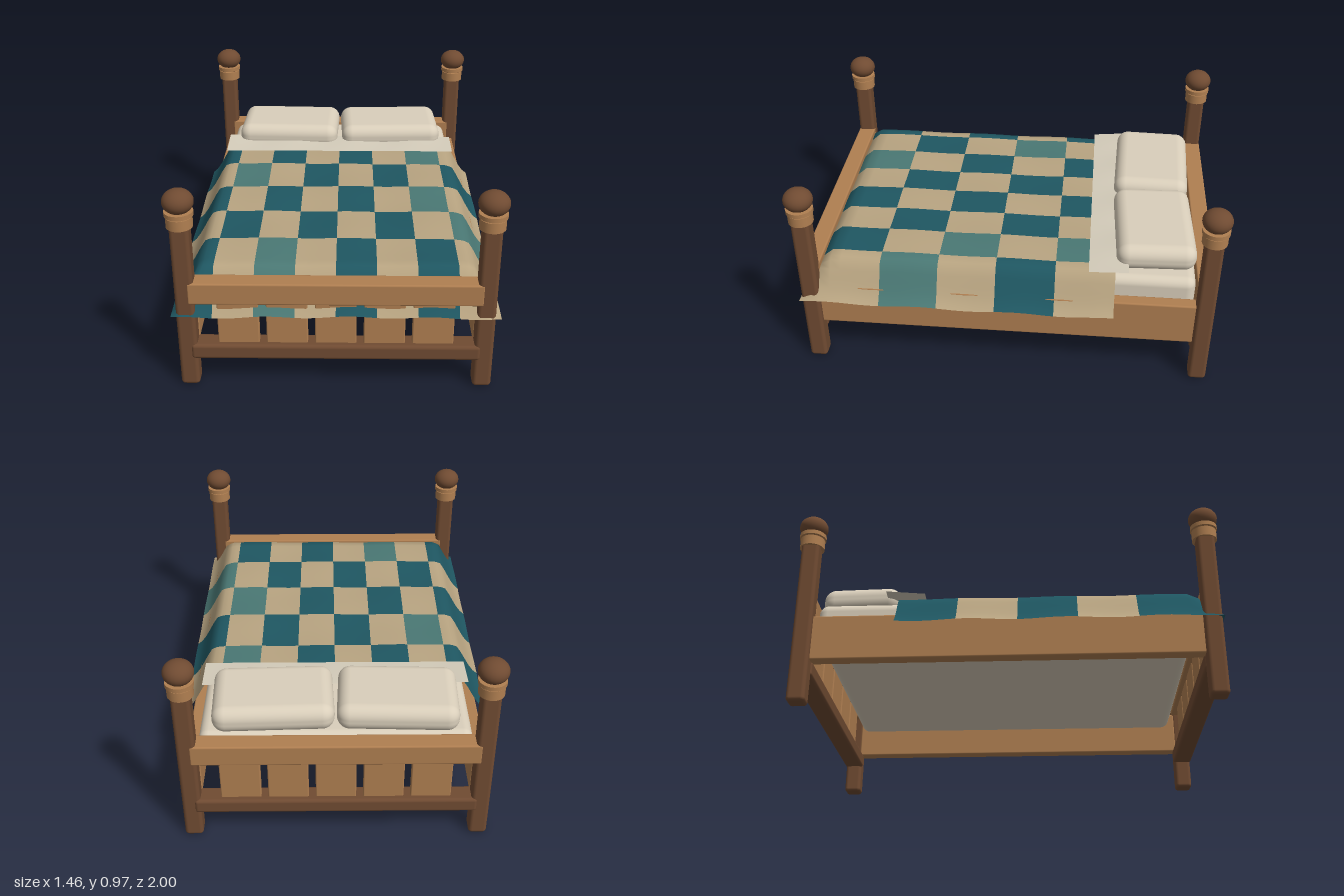
import * as THREE from 'three';
import { RoundedBoxGeometry } from 'three/addons/geometries/RoundedBoxGeometry.js';

const material = (name, color, side = THREE.FrontSide) => {
  const m = new THREE.MeshStandardMaterial({ color, side });
  m.name = name;
  return m;
};

export function createModel() {
  const bed = new THREE.Group();
  bed.name = 'bed';
  const lightWood = material('light wood', 0xb07f51);
  const darkWood = material('dark wood', 0x704b32);
  const linen = material('linen', 0xdacfbb);
  const sheetCloth = material('sheet cloth', 0xd4ccba, THREE.DoubleSide);
  const quiltColors = [
    material('quilt tan', 0xb8a481, THREE.DoubleSide),
    material('quilt teal', 0x1f5762, THREE.DoubleSide),
    material('quilt pale teal', 0x4a7874, THREE.DoubleSide),
  ];

  const add = (name, geometry, mat, x = 0, y = 0, z = 0, parent = bed) => {
    const mesh = new THREE.Mesh(geometry, mat);
    mesh.name = name;
    mesh.position.set(x, y, z);
    parent.add(mesh);
    return mesh;
  };
  const box = (w, h, d, r) => new RoundedBoxGeometry(w, h, d, 3, r);

  // Corner posts with collars and ball finials
  for (const sx of [-1, 1]) for (const sz of [-1, 1]) {
    const post = new THREE.Group();
    post.name = 'cornerPost';
    post.position.set(0.66 * sx, 0, 0.932 * sz);
    bed.add(post);
    add('postShaft', box(0.085, 0.87, 0.085, 0.018), darkWood, 0, 0.435, 0, post);
    add('lowerCollar', new THREE.CylinderGeometry(0.058, 0.058, 0.048, 24), lightWood, 0, 0.822, 0, post);
    add('upperCollar', new THREE.CylinderGeometry(0.063, 0.063, 0.02, 24), lightWood, 0, 0.862, 0, post);
    add('finial', new THREE.SphereGeometry(0.068, 24, 16), darkWood, 0, 0.915, 0, post).scale.y = 0.81;
  }

  // Headboard and footboard
  for (const sz of [-1, 1]) {
    const board = new THREE.Group();
    board.name = sz < 0 ? 'headboard' : 'footboard';
    board.position.z = 0.932 * sz;
    bed.add(board);
    add('topRail', box(1.29, 0.105, 0.088, 0.008), lightWood, 0, 0.483, 0, board);
    add('bottomRail', box(1.29, 0.075, 0.098, 0.016), darkWood, 0, 0.183, 0, board);
    for (let i = -2; i <= 2; i++) {
      add('slat', box(0.184, 0.24, 0.04, 0.006), lightWood, i * 0.216, 0.325, 0, board);
    }
  }

  // Side rails
  for (const sx of [-1, 1]) add('sideRail', box(0.062, 0.22, 1.8, 0.008), lightWood, 0.645 * sx, 0.32, 0);

  // Mattress and pillows
  add('mattress', box(1.23, 0.19, 1.75, 0.045), linen, 0, 0.435, -0.012);
  for (const sx of [-1, 1]) {
    add('pillow', new RoundedBoxGeometry(0.55, 0.13, 0.375, 5, 0.058), linen, 0.284 * sx, 0.588, -0.692)
      .rotation.y = 0.035 * sx;
  }

  // Quilt: a grid whose cells follow the checks, draped over sides and foot
  const sub = 8;
  const cols = Array.from({ length: 9 }, (_, i) => -0.725 + i * 0.18125);
  const rows = [-0.51, -0.23, 0.05, 0.325, 0.6, 0.98];
  const refine = (edges) => edges.flatMap((e, i) => i === edges.length - 1 ? [e]
    : Array.from({ length: sub }, (_, k) => e + (edges[i + 1] - e) * k / sub));
  const profile = [[0, 0], [0.035, 0.012], [0.065, 0.06], [0.095, 0.12], [0.125, 0.165], [0.16, 0.195]];
  const drop = (t) => {
    if (t <= 0) return 0;
    const i = Math.min(profile.findIndex(p => p[0] >= t) + profile.length, 2 * profile.length - 1) % profile.length;
    const [a, b] = [profile[i - 1], profile[i]];
    return a[1] + (b[1] - a[1]) * Math.min((t - a[0]) / (b[0] - a[0]), 1);
  };
  const quiltHeight = (x, z) => {
    const d = Math.max(drop(Math.abs(x) - 0.575), drop(z - 0.83));
    const wave = Math.sin(x * 17 + 0.6) * 0.5 + Math.sin(z * 14 + x * 3) * 0.5;
    return 0.556 - d + wave * (0.004 + d * 0.03);
  };

  const xs = refine(cols), zs = refine(rows);
  const quilt = new THREE.BufferGeometry();
  const positions = zs.flatMap(z => xs.flatMap(x => [x, quiltHeight(x, z), z]));
  quilt.setAttribute('position', new THREE.Float32BufferAttribute(positions, 3));
  const checks = ['10101020', '02010101', '10101020', '01010102', '10201010'];
  const faces = [[], [], []];
  for (let r = 0; r < zs.length - 1; r++) for (let c = 0; c < xs.length - 1; c++) {
    const a = r * xs.length + c, b = a + xs.length;
    faces[+checks[Math.floor(r / sub)][Math.floor(c / sub)]].push(a, b, a + 1, b, b + 1, a + 1);
  }
  quilt.setIndex(faces.flat());
  let start = 0;
  faces.forEach((f, i) => {
    quilt.addGroup(start, f.length, i);
    start += f.length;
  });
  quilt.computeVertexNormals();
  add('quilt', quilt, quiltColors);

  // Turned-down sheet, rippled and rising toward the pillows
  const sheet = new THREE.PlaneGeometry(1.25, 0.185, 40, 6).rotateX(-Math.PI / 2).translate(0, 0, -0.478);
  const p = sheet.attributes.position;
  for (let i = 0; i < p.count; i++) {
    const lift = (-0.385 - p.getZ(i)) / 0.185;
    p.setY(i, 0.564 + 0.012 * lift + 0.005 * Math.sin(p.getX(i) * 18) * lift);
  }
  sheet.computeVertexNormals();
  add('turnedDownSheet', sheet, sheetCloth);

  return bed;
}
